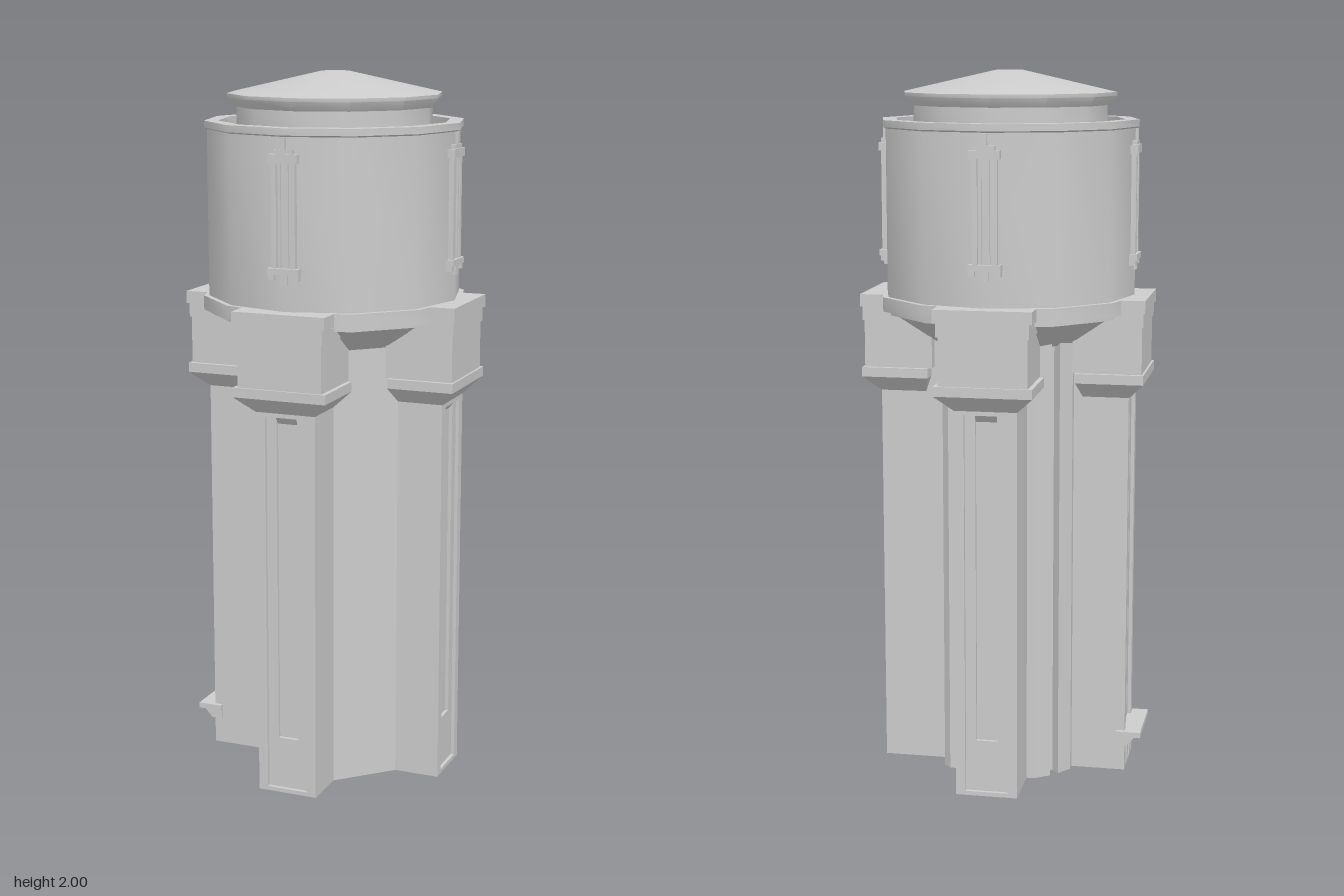
import * as THREE from 'three';
import { toCreasedNormals } from 'three/addons/utils/BufferGeometryUtils.js';

export function createModel() {
  const model = new THREE.Group();
  model.name = 'waterTower';
  const stone = new THREE.MeshStandardMaterial({ color: 0xcccccc });
  stone.name = 'pale grey stone';

  const add = (parent, name, geometry) => {
    const mesh = new THREE.Mesh(geometry, stone);
    mesh.name = name;
    parent.add(mesh);
    return mesh;
  };
  // Box given by its limits on each axis
  const box = (parent, name, x0, x1, y0, y1, z0, z1) => {
    const g = new THREE.BoxGeometry(x1 - x0, y1 - y0, z1 - z0);
    g.translate((x0 + x1) / 2, (y0 + y1) / 2, (z0 + z1) / 2);
    return add(parent, name, g);
  };
  // Box whose underside is drawn in to a smaller rectangle
  const taper = (parent, name, y0, y1, top, bottom) => {
    const g = new THREE.BoxGeometry(1, 1, 1).toNonIndexed();
    const p = g.attributes.position;
    for (let i = 0; i < p.count; i++) {
      const up = p.getY(i) > 0;
      const [w, z0, z1] = up ? top : bottom;
      p.setXYZ(i, p.getX(i) * 2 * w, up ? y1 : y0, p.getZ(i) > 0 ? z1 : z0);
    }
    g.computeVertexNormals();
    return add(parent, name, g);
  };
  // Twelve-sided turned part, smooth around and sharp at profile corners
  const turned = (name, profile) => {
    const points = profile.map(([r, y]) => new THREE.Vector2(r, y));
    return add(model, name, toCreasedNormals(new THREE.LatheGeometry(points, 12), 0.6));
  };

  // Shaft: cross plan with recessed leg panels and a different inner corner per side
  const legEdge = [[0.335, 0.03], [0.345, 0.03], [0.345, 0.06], [0.355, 0.06], [0.355, 0.087]];
  const corners = {
    plain: [[0.225, 0.087]],
    pilaster: [[0.165, 0.087], [0.165, 0.145]],
    grooved: [[0.2, 0.087], [0.2, 0.11], [0.17, 0.15], [0.15, 0.127]],
  };
  const quadrant = (kind, sx, sy) => {
    const half = [...legEdge, ...corners[kind]];
    const full = [...half, ...half.map(([u, v]) => [v, u]).reverse()];
    if (sx * sy < 0) full.reverse();
    return full.map(([u, v]) => new THREE.Vector2(sx * u, sy * v));
  };
  const plan = new THREE.Shape([
    ...quadrant('pilaster', 1, 1),
    ...quadrant('grooved', -1, 1),
    ...quadrant('grooved', -1, -1),
    ...quadrant('plain', 1, -1),
  ]);
  const shaft = new THREE.ExtrudeGeometry(plan, { depth: 1.27, bevelEnabled: false });
  shaft.rotateX(-Math.PI / 2);
  add(model, 'shaft', shaft);

  // Four sides: leg trim, corbel block and drum window
  for (let i = 0; i < 4; i++) {
    const side = new THREE.Group();
    side.name = ['front', 'left', 'back', 'right'][i] + 'Side';
    side.rotation.y = (i * Math.PI) / 2;
    model.add(side);

    box(side, 'panelSill', -0.06, 0.06, 0, 0.012, 0.32, 0.355);
    box(side, 'panelHead', -0.06, 0.06, 1.088, 1.11, 0.32, 0.355);
    box(side, 'slotSill', -0.03, 0.03, 0, 0.16, 0.32, 0.345);
    taper(side, 'slotHead', 1.068, 1.088, [0.03, 0.32, 0.352], [0.03, 0.32, 0.336]);

    taper(side, 'corbel', 1.1, 1.145, [0.135, 0.21, 0.4], [0.087, 0.225, 0.356]);
    box(side, 'corbelCollar', -0.135, 0.135, 1.145, 1.172, 0.21, 0.4);
    box(side, 'block', -0.122, 0.122, 1.172, 1.305, 0.2, 0.394);
    box(side, 'blockHead', -0.127, 0.127, 1.305, 1.345, 0.2, 0.398);
    box(side, 'blockCap', -0.135, 0.135, 1.345, 1.38, 0.2, 0.403);

    // Window surround with thin vertical bars
    for (const s of [-1, 1]) {
      box(side, 'windowJamb', s * 0.027 - 0.007, s * 0.027 + 0.007, 1.495, 1.775, 0.33, 0.362);
      box(side, 'windowBar', s * 0.011 - 0.003, s * 0.011 + 0.003, 1.495, 1.775, 0.33, 0.36);
      box(side, 'sillBracket', s * 0.036 - 0.008, s * 0.036 + 0.008, 1.465, 1.482, 0.33, 0.364);
    }
    box(side, 'windowSill', -0.045, 0.045, 1.48, 1.497, 0.33, 0.368);
    box(side, 'windowLintel', -0.042, 0.042, 1.775, 1.798, 0.33, 0.367);
    box(side, 'lintelCrown', -0.028, 0.028, 1.798, 1.81, 0.33, 0.363);
    box(side, 'topFinial', -0.007, 0.007, 1.81, 1.842, 0.34, 0.363);
    box(side, 'bottomFinial', -0.011, 0.011, 1.452, 1.48, 0.34, 0.363);
  }

  // Flared underside, platform, drum with parapet, roof
  turned('flare', [[0, 1.25], [0.22, 1.25], [0.335, 1.328], [0.35, 1.328], [0.35, 1.345]]);
  turned('platform', [[0, 1.34], [0.372, 1.34], [0.372, 1.38], [0, 1.38]]);
  turned('drum', [[0.357, 1.37], [0.357, 1.845]]);
  turned('parapet', [[0.357, 1.843], [0.365, 1.847], [0.365, 1.866], [0.325, 1.866], [0.325, 1.83], [0, 1.83]]);
  turned('roofNeck', [[0.275, 1.825], [0.275, 1.905]]);
  turned('roof', [[0.27, 1.905], [0.285, 1.905], [0.302, 1.93], [0.302, 1.94], [0.04, 1.999], [0, 2]]);

  // Canopy and slatted doorway on the -x leg
  const doorway = new THREE.Group();
  doorway.name = 'doorway';
  doorway.rotation.y = -Math.PI / 2;
  model.add(doorway);
  box(doorway, 'canopy', -0.1, 0.1, 0.104, 0.12, 0.33, 0.402);
  taper(doorway, 'canopySupport', 0.078, 0.104, [0.095, 0.33, 0.385], [0.095, 0.33, 0.362]);
  for (let i = -3; i <= 3; i++) {
    box(doorway, 'doorSlat', i * 0.017 - 0.004, i * 0.017 + 0.004, 0.01, 0.08, 0.34, 0.357);
  }
  return model;
}
